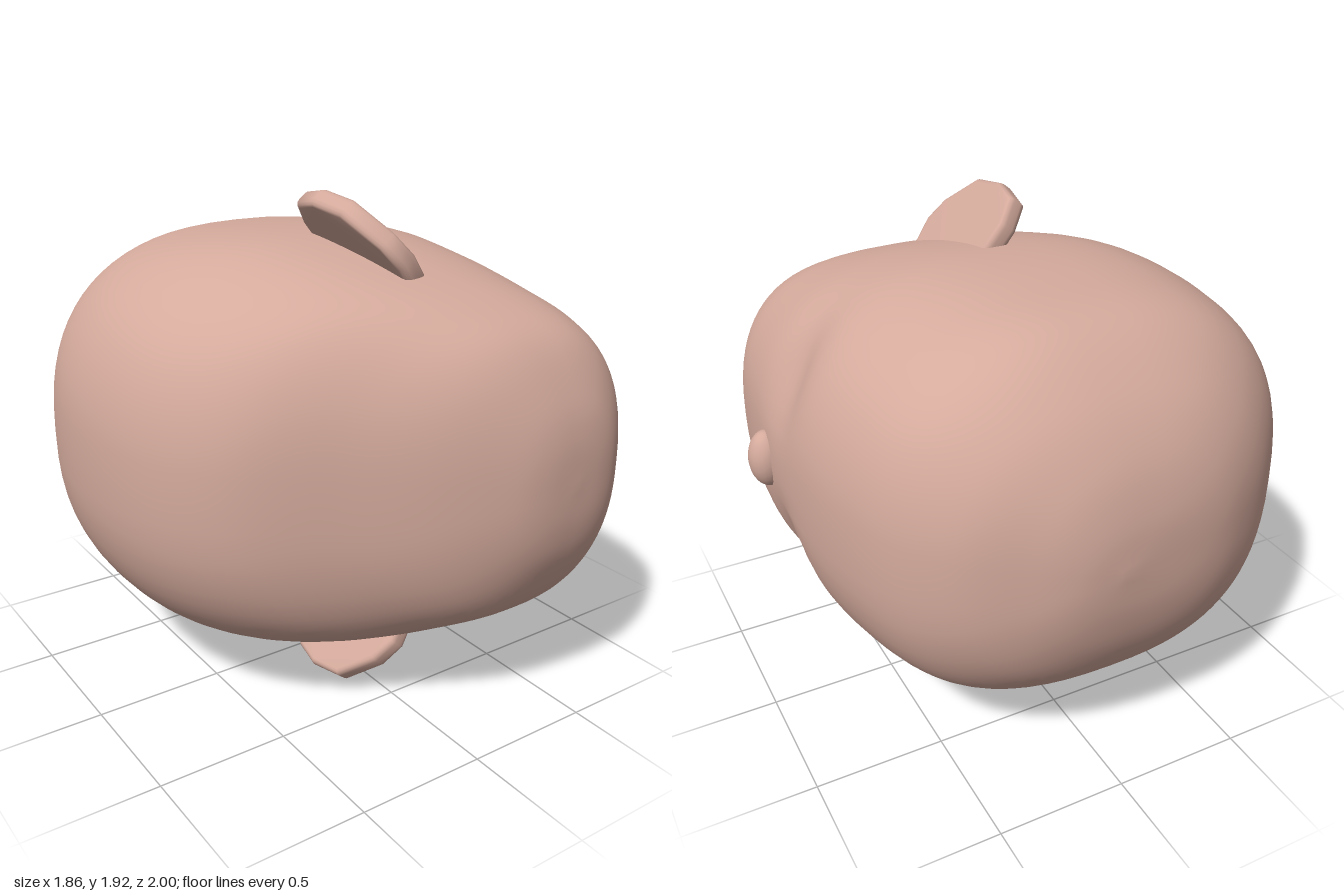
import * as THREE from 'three';
import { mergeVertices } from 'three/addons/utils/BufferGeometryUtils.js';

const MID = 0.955; // height of the symmetry plane

// Weld vertices so that the shading is smooth
function smooth(geometry) {
  geometry.deleteAttribute('normal');
  geometry.deleteAttribute('uv');
  const g = mergeVertices(geometry, 1e-4);
  g.computeVertexNormals();
  return g;
}

// Skull: superellipse sections from the crown (-z) to the chin (+z)
function headGeometry() {
  // z, back x, face x, half width
  const sections = [
    [-1, 0.03, 0.03, 0], [-0.98, -0.3, 0.2, 0.2], [-0.92, -0.5, 0.36, 0.39],
    [-0.8, -0.69, 0.57, 0.57], [-0.6, -0.86, 0.73, 0.725], [-0.32, -0.93, 0.82, 0.775],
    [0, -0.92, 0.86, 0.785], [0.27, -0.84, 0.855, 0.745], [0.5, -0.67, 0.845, 0.68],
    [0.7, -0.36, 0.815, 0.6], [0.85, -0.11, 0.75, 0.5], [0.95, 0.11, 0.64, 0.32],
    [0.99, 0.25, 0.54, 0.17], [1, 0.4, 0.4, 0],
  ];
  const spline = (f) => new THREE.CatmullRomCurve3(sections.map(f), false, 'catmullrom');
  const size = spline((s) => new THREE.Vector3(s[1], s[2], s[3]));
  const along = spline((s) => new THREE.Vector3(s[0], 0, 0));
  const rings = 78, sides = 72, e = 2 / 2.5;
  const power = (v) => Math.sign(v) * Math.abs(v) ** e;
  const pos = [], index = [];
  for (let i = 0; i <= rings; i++) {
    const p = size.getPoint(i / rings), z = along.getPoint(i / rings).x;
    for (let j = 0; j < sides; j++) {
      const a = (j / sides) * Math.PI * 2;
      let x = (p.x + p.y) / 2 + ((p.y - p.x) / 2) * power(Math.cos(a));
      const y = p.z * power(Math.sin(a));
      // Eye sockets pressed into the face
      if (x > 0.2) {
        const dz = (z - 0.12) / 0.13, dy = (Math.abs(y) - 0.4) / 0.2;
        x -= 0.06 * Math.min(1, (x - 0.2) / 0.3) * Math.exp(-dz * dz - dy * dy);
      }
      pos.push(x, y + MID, z);
      if (i < rings) {
        const n = (j + 1) % sides, r = i * sides, q = r + sides;
        index.push(r + j, r + n, q + j, r + n, q + n, q + j);
      }
    }
  }
  const g = new THREE.BufferGeometry();
  g.setAttribute('position', new THREE.Float32BufferAttribute(pos, 3));
  g.setIndex(index);
  return smooth(g);
}

// Ear: thin rounded plate leaning towards the back of the head
function earGeometry(side) {
  const outline = [[0.08, -0.06], [0.05, 0.1], [0.05, 0.2], [0.09, 0.285], [0.2, 0.31],
    [0.34, 0.285], [0.46, 0.16], [0.495, 0.07], [0.47, -0.06]];
  const shape = new THREE.Shape(outline.map(([z, s]) => new THREE.Vector2(z, s)));
  const g = new THREE.ExtrudeGeometry(shape, {
    depth: 0.03, bevelEnabled: true, bevelThickness: 0.025, bevelSize: 0.02, bevelSegments: 3,
  });
  g.translate(0, 0, -0.015);
  const across = new THREE.Vector3(0, 0, 1);
  const out = new THREE.Vector3(-0.62, 0.78 * side, 0).normalize();
  const thick = new THREE.Vector3().crossVectors(across, out);
  g.applyMatrix4(new THREE.Matrix4().makeBasis(across, out, thick)
    .setPosition(0.06, MID + 0.685 * side, 0));
  return smooth(g);
}

export function createModel() {
  const group = new THREE.Group();
  group.name = 'head';
  const skin = new THREE.MeshStandardMaterial({ color: 0xd4aa9c });
  skin.name = 'skin';
  const add = (name, geometry) => {
    const mesh = new THREE.Mesh(geometry, skin);
    mesh.name = name;
    group.add(mesh);
    return mesh;
  };

  add('skull', headGeometry());
  add('upperEar', earGeometry(1));
  add('lowerEar', earGeometry(-1));

  // Button nose
  const nose = add('nose', new THREE.SphereGeometry(1, 24, 16));
  nose.scale.set(0.075, 0.118, 0.075);
  nose.position.set(0.848, MID, 0.275);
  return group;
}
